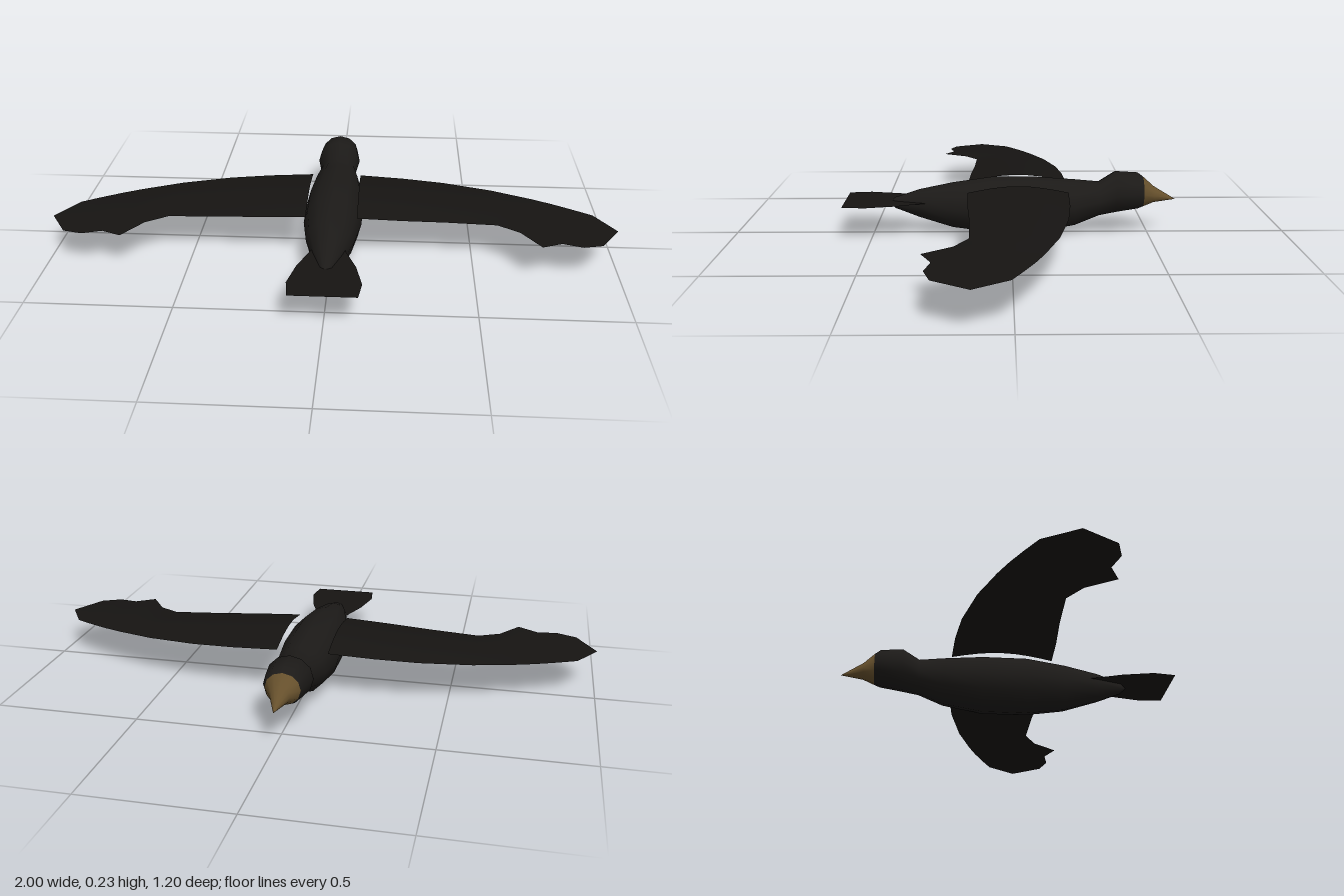
import * as THREE from 'three';

const plumage = new THREE.MeshStandardMaterial({ color: 0x1c1a18 });
const feather = new THREE.MeshStandardMaterial({ color: 0x161412, side: THREE.DoubleSide });
const horn = new THREE.MeshStandardMaterial({ color: 0x66502c });

// Surface through rows of points; "closed" joins each row into a ring
function skin(rows, closed) {
  const n = rows[0].length, index = [];
  for (let i = 0; i < rows.length - 1; i++) {
    for (let j = 0; j < (closed ? n : n - 1); j++) {
      const k = (j + 1) % n;
      const a = i * n + j, b = i * n + k, c = a + n, d = b + n;
      if (closed) index.push(a, c, b, b, c, d);
      else index.push(a, b, c, b, d, c);
    }
  }
  const geo = new THREE.BufferGeometry();
  geo.setAttribute('position', new THREE.Float32BufferAttribute(rows.flat(2), 3));
  geo.setIndex(index);
  geo.computeVertexNormals();
  return geo;
}

// Elliptical ring from [z, bottom, top, half width]
function ring([z, low, high, w]) {
  return Array.from({ length: 12 }, (_, j) => {
    const a = (j / 12) * Math.PI * 2;
    return [w * Math.cos(a), (low + high) / 2 + ((high - low) / 2) * Math.sin(a), z];
  });
}

function mesh(name, geo, material) {
  const m = new THREE.Mesh(geo, material);
  m.name = name;
  return m;
}

export function createModel() {
  const bird = new THREE.Group();
  bird.name = 'bird';

  // Body and head, from rump to face
  const body = [
    [0.44, 0.115, 0.115, 0], [0.42, 0.095, 0.135, 0.022], [0.33, 0.06, 0.165, 0.053],
    [0.21, 0.022, 0.19, 0.084], [0.07, 0.003, 0.21, 0.104], [-0.09, 0.003, 0.21, 0.104],
    [-0.23, 0.028, 0.2, 0.088], [-0.32, 0.065, 0.192, 0.067], [-0.38, 0.077, 0.23, 0.08],
    [-0.46, 0.09, 0.225, 0.07], [-0.48, 0.098, 0.21, 0.06],
  ];
  bird.add(mesh('body', skin(body.map(ring), true), plumage));

  // Beak
  const beak = [[-0.48, 0.098, 0.21, 0.06], [-0.52, 0.114, 0.174, 0.033], [-0.6, 0.125, 0.125, 0]];
  bird.add(mesh('beak', skin(beak.map(ring), true), horn));

  // Wings: arched sheets, stations are [x, leading z, trailing z]
  const stations = [
    [0.09, -0.205, 0.155], [0.25, -0.2, 0.15], [0.4, -0.185, 0.14], [0.58, -0.145, 0.135],
    [0.655, -0.118, 0.18], [0.72, -0.095, 0.275], [0.79, -0.065, 0.24], [0.86, -0.03, 0.257],
    [0.93, 0.008, 0.235], [1, 0.12, 0.12],
  ];
  const wingRows = stations.map(([x, lead, trail]) => Array.from({ length: 9 }, (_, j) => {
    const t = j / 8, s = (x - 0.09) / 0.91;
    const arch = 0.024 * (1 - s) * Math.sin(Math.PI * t);
    return [x, 0.172 - 0.04 * s + arch, lead + (trail - lead) * t];
  }));
  const wingGeo = skin(wingRows, false);
  for (const [name, side] of [['leftWing', 1], ['rightWing', -1]]) {
    const wing = mesh(name, wingGeo, feather);
    wing.scale.x = side;
    bird.add(wing);
  }

  // Flat fanned tail, rows are [half width, z]
  const tail = [[0.05, 0.28], [0.06, 0.31], [0.098, 0.41], [0.122, 0.52], [0.112, 0.6]];
  const tailRows = tail.map(([w, z]) => [[-w, 0.125, z], [0, 0.125, z], [w, 0.125, z]]);
  bird.add(mesh('tail', skin(tailRows.map((r) => r.reverse()), false).scale(1, 1, 1), feather));

  // Tail winding follows the rows, so turn its faces upward
  const tailMesh = bird.getObjectByName('tail');
  if (tailMesh.geometry.attributes.normal.getY(0) < 0) {
    const idx = Array.from(tailMesh.geometry.index.array).reverse();
    tailMesh.geometry.setIndex(idx);
    tailMesh.geometry.computeVertexNormals();
  }
  return bird;
}
